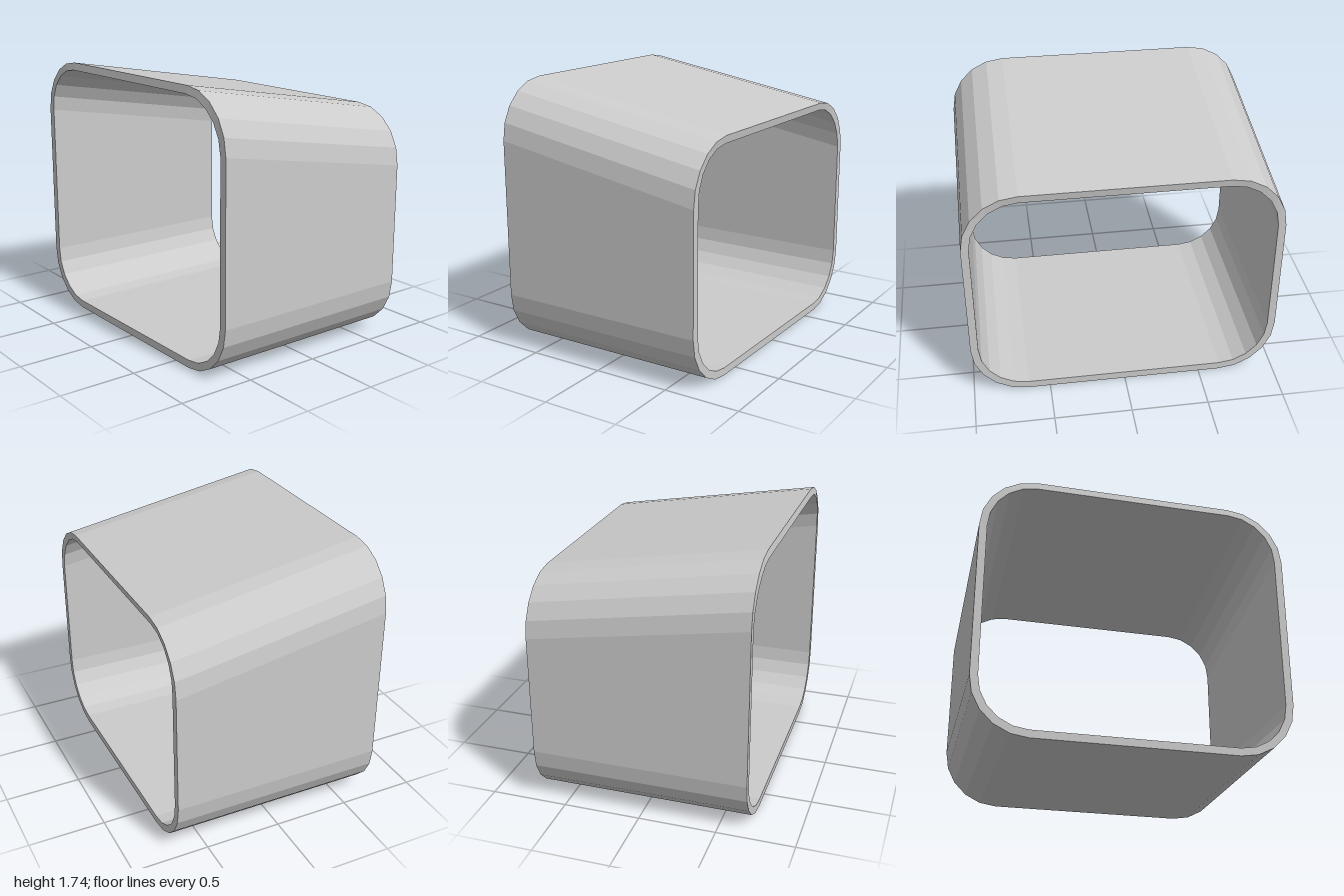
import * as THREE from 'three';

const X_RIGHT = 0.695, X_LEFT = -0.69;      // open ends
const TOP_RIGHT = 1.5, TOP_LEFT = 1.735;    // sloping roof heights
const RADIUS = 0.36, HALF_DEPTH = 1, WALL = 0.05, SEGMENTS = 5;
const SLOPE = (TOP_LEFT - TOP_RIGHT) / (X_RIGHT - X_LEFT);

// One rounded-rectangle loop at an end, moved inward along the surface normal
function endLoop(x, top, inset) {
  const points = [];
  for (let corner = 0; corner < 4; corner++) {
    const isTop = corner < 2;
    const centreZ = (corner === 0 || corner === 3 ? 1 : -1) * (HALF_DEPTH - RADIUS);
    const centreY = isTop ? top - RADIUS : RADIUS;
    for (let i = 0; i <= SEGMENTS; i++) {
      const angle = (corner + i / SEGMENTS) * Math.PI / 2;
      const ny = Math.sin(angle), nz = Math.cos(angle);
      const normal = new THREE.Vector3(isTop ? SLOPE * ny : 0, ny, nz).normalize();
      points.push(new THREE.Vector3(x, centreY + RADIUS * ny, centreZ + RADIUS * nz)
        .addScaledVector(normal, -inset));
    }
  }
  return points;
}

export function createModel() {
  // Loops run along the outside, around the left rim and back through the inside
  const loops = [
    endLoop(X_RIGHT, TOP_RIGHT, 0),
    endLoop(X_LEFT, TOP_LEFT, 0),
    endLoop(X_LEFT, TOP_LEFT, WALL),
    endLoop(X_RIGHT, TOP_RIGHT, WALL),
  ];
  const count = loops[0].length;
  const triangles = [];
  loops.forEach((loop, i) => {
    const next = loops[(i + 1) % loops.length];
    for (let j = 0; j < count; j++) {
      const k = (j + 1) % count;
      triangles.push(loop[j], loop[k], next[j], loop[k], next[k], next[j]);
    }
  });
  const geometry = new THREE.BufferGeometry().setFromPoints(triangles);
  geometry.computeVertexNormals();

  const sleeve = new THREE.Mesh(geometry,
    new THREE.MeshStandardMaterial({ color: 0xcccccc, flatShading: true }));
  sleeve.name = 'slopedSleeve';

  const model = new THREE.Group();
  model.name = 'openSleeve';
  model.add(sleeve);
  return model;
}
